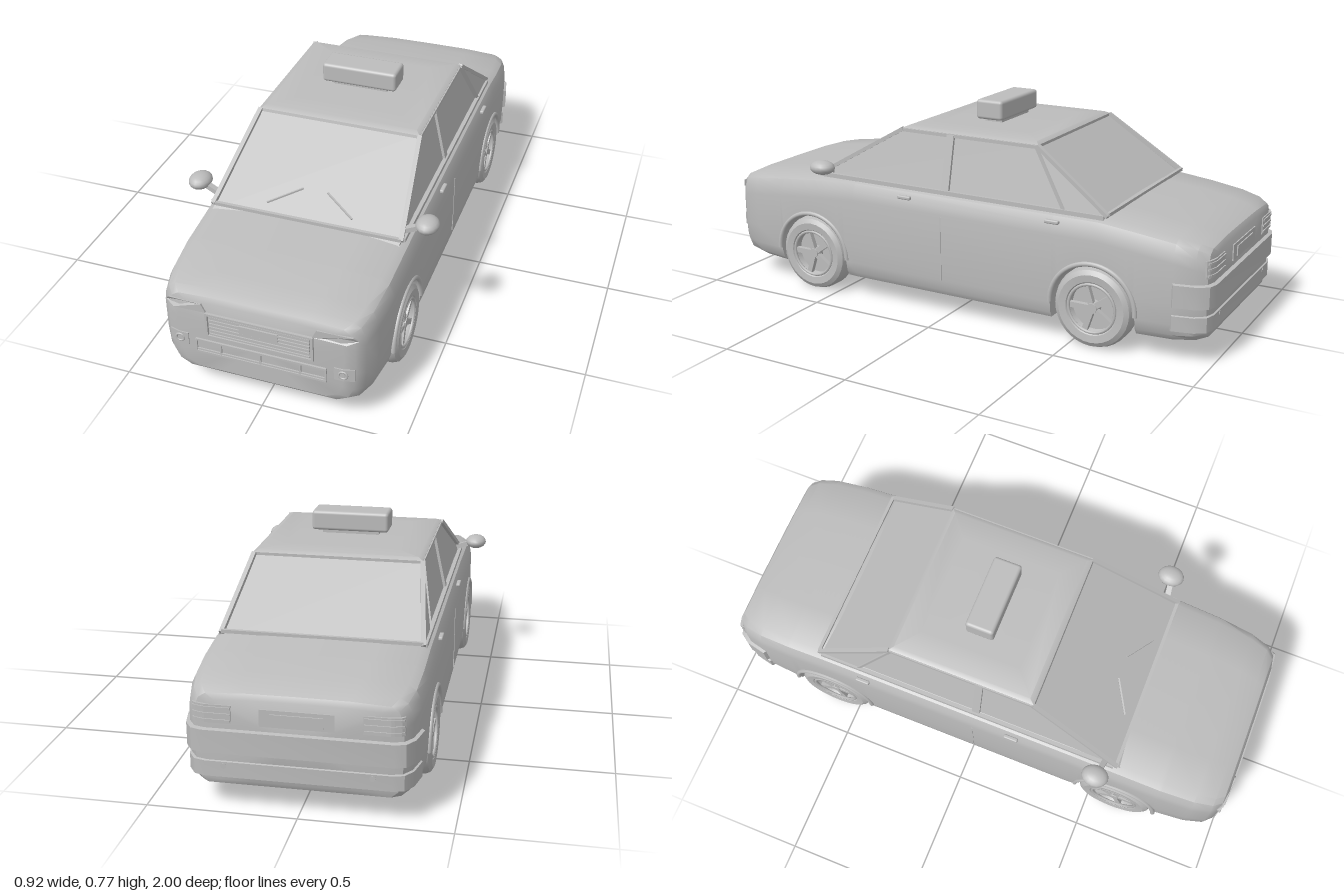
import * as THREE from 'three';
import { toCreasedNormals } from 'three/addons/utils/BufferGeometryUtils.js';
import { RoundedBoxGeometry } from 'three/addons/geometries/RoundedBoxGeometry.js';

const grey = new THREE.MeshStandardMaterial({ color: 0xbcbcbc });
grey.name = 'plain grey';

// Body stations: z, half width, bottom, top, bottom-corner factor
const STATIONS = [
  [-0.985, 0.3, 0.11, 0.39, 0.85], [-0.975, 0.335, 0.092, 0.408, 0.88], [-0.94, 0.36, 0.083, 0.423, 0.9],
  [-0.87, 0.376, 0.08, 0.438, 0.93], [-0.75, 0.384, 0.08, 0.455, 0.94], [-0.6, 0.386, 0.08, 0.472, 0.95],
  [0.4, 0.386, 0.08, 0.472, 0.95], [0.55, 0.385, 0.08, 0.462, 0.93], [0.75, 0.381, 0.08, 0.443, 0.9],
  [0.88, 0.37, 0.08, 0.427, 0.87], [0.95, 0.352, 0.084, 0.414, 0.83], [0.98, 0.325, 0.092, 0.402, 0.8],
  [0.99, 0.29, 0.105, 0.385, 0.78]];
const WHEEL_Z = [0.6, -0.585], WHEEL_R = 0.145, ARCH_R = 0.157;

function station(z) {
  let i = 0;
  while (i < STATIONS.length - 2 && STATIONS[i + 1][0] < z) i++;
  const a = STATIONS[i], b = STATIONS[i + 1];
  return a.map((v, k) => v + (b[k] - v) * (z - a[0]) / (b[0] - a[0]));
}

// Skin through closed rings of [x, y, z], capped at both ends
function loft(rings, crease = 0.6) {
  const n = rings[0].length, pos = rings.flat(2), idx = [];
  for (let i = 0; i < rings.length - 1; i++) {
    for (let j = 0; j < n; j++) {
      const a = i * n + j, b = i * n + (j + 1) % n;
      idx.push(a, b, b + n, a, b + n, a + n);
    }
  }
  for (const [start, flip] of [[0, true], [(rings.length - 1) * n, false]]) {
    const ring = rings[start / n], c = pos.length / 3;
    for (let k = 0; k < 3; k++) pos.push(ring.reduce((s, p) => s + p[k], 0) / n);
    for (let j = 0; j < n; j++) {
      const a = start + j, b = start + (j + 1) % n;
      idx.push(c, flip ? b : a, flip ? a : b);
    }
  }
  const g = new THREE.BufferGeometry();
  g.setAttribute('position', new THREE.Float32BufferAttribute(pos, 3));
  g.setIndex(idx);
  return toCreasedNormals(g, crease);
}

// Moves z of a thin part so that it hugs the nose (side 1) or tail (side -1)
function hug(g, side) {
  const table = STATIONS.filter(s => s[0] * side > 0.8).sort((a, b) => a[1] - b[1]);
  const p = g.attributes.position;
  for (let i = 0; i < p.count; i++) {
    const x = Math.abs(p.getX(i));
    let z = table[0][0];
    for (let k = 0; k < table.length - 1; k++) {
      const a = table[k], b = table[k + 1];
      if (x > a[1]) z = a[0] + (b[0] - a[0]) * Math.min(1, (x - a[1]) / (b[1] - a[1]));
    }
    p.setZ(i, p.getZ(i) + z);
  }
  g.computeVertexNormals();
  return g;
}

export function createModel() {
  const car = new THREE.Group();
  car.name = 'saloonCar';
  const add = (name, g, x = 0, y = 0, z = 0, parent = car) => {
    const m = new THREE.Mesh(g, grey);
    m.name = name;
    m.position.set(x, y, z);
    parent.add(m);
    return m;
  };
  const beam = (name, a, b, w, h) => {
    const p = new THREE.Vector3(...a), q = new THREE.Vector3(...b);
    const m = add(name, new THREE.BoxGeometry(w, h, p.distanceTo(q)));
    m.position.copy(p).lerp(q, 0.5);
    m.lookAt(q);
    return m;
  };
  // Thin box on the nose or tail
  const plate = (name, x, y, w, h, side, d = 0.012) =>
    add(name, hug(new THREE.BoxGeometry(w, h, d, 12, 1, 1).translate(x, y, 0).toNonIndexed(), side));

  // Lower body with wheel tunnels
  const cuts = STATIONS.map(s => [s[0], 0]).filter(([z]) => WHEEL_Z.every(c => Math.abs(z - c) > ARCH_R));
  for (const c of WHEEL_Z) {
    cuts.push([c - ARCH_R - 0.0005, 0], [c + ARCH_R + 0.0005, 0]);
    for (let i = 0; i <= 20; i++) {
      const t = Math.PI * i / 20;
      cuts.push([c - ARCH_R * Math.cos(t), WHEEL_R + ARCH_R * Math.sin(t)]);
    }
  }
  cuts.sort((a, b) => a[0] - b[0]);
  add('body', loft(cuts.map(([z, arch]) => {
    const [, w, b, T, k] = station(z), y = v => Math.max(arch, v);
    const half = [[0.5 * w, y(b)], [k * w, y(b)], [(1 - (1 - k) * 0.4) * w, y(b + 0.02)], [(1 - (1 - k) * 0.1) * w, y(b + 0.06)],
      [w, y(b + 0.13)], [w, T - 0.085], [0.985 * w, T - 0.05], [0.95 * w, T - 0.022], [0.88 * w, T - 0.007], [0.5 * w, T]];
    return [[0, y(b)], ...half, [0, T + 0.001], ...half.slice().reverse().map(([x, v]) => [-x, v])].map(([x, v]) => [x, v, z]);
  })));

  // Cabin glass and roof
  const ring = (y, x, f, r) => [[x, y, f], [x, y, r], [-x, y, r], [-x, y, f]];
  add('cabinGlass', loft([ring(0.45, 0.343, 0.585, -0.63), ring(0.668, 0.294, 0.215, -0.325)], 0.3));
  add('roof', loft([ring(0.66, 0.303, 0.228, -0.335), ring(0.671, 0.302, 0.225, -0.335),
    ring(0.68, 0.285, 0.205, -0.32), ring(0.685, 0.2, 0.13, -0.25)], 0.5));
  beam('windscreenSill', [-0.345, 0.467, 0.568], [0.345, 0.467, 0.568], 0.012, 0.012);
  beam('rearGlassSill', [-0.345, 0.474, -0.62], [0.345, 0.474, -0.62], 0.012, 0.012);

  for (const s of [1, -1]) {
    // Pillars, mouldings and rear quarter panel
    beam('frontPillar', [s * 0.345, 0.465, 0.572], [s * 0.302, 0.668, 0.222], 0.016, 0.014);
    beam('middlePillar', [s * 0.347, 0.46, 0.017], [s * 0.302, 0.668, 0.017], 0.03, 0.01);
    beam('rearPillar', [s * 0.345, 0.468, -0.622], [s * 0.302, 0.668, -0.333], 0.016, 0.014);
    beam('windowRearFrame', [s * 0.347, 0.465, -0.46], [s * 0.303, 0.665, -0.33], 0.012, 0.012);
    beam('windowTopFrame', [s * 0.301, 0.664, 0.222], [s * 0.301, 0.664, -0.333], 0.012, 0.012);
    beam('beltMoulding', [s * 0.35, 0.463, 0.56], [s * 0.35, 0.463, -0.61], 0.014, 0.016);
    const tri = [[0.343, 0.466, -0.46], [0.343, 0.466, -0.615], [0.299, 0.666, -0.333]];
    const rings = [0, 0.006].map(o => tri.map(([x, y, z]) => [s * (x + o), y, z]));
    add('rearQuarterPanel', loft(s > 0 ? rings : rings.map(r => r.reverse()), 0.3));

    // Door seams and handles
    add('doorSeam', new THREE.BoxGeometry(0.004, 0.24, 0.004), s * 0.386, 0.26, 0.015);
    for (const z of [0.17, -0.43])
      add('doorHandle', new RoundedBoxGeometry(0.016, 0.014, 0.055, 2, 0.005), s * 0.383, 0.432, z);

    // Mirrors
    beam('mirrorStalk', [s * 0.34, 0.48, 0.525], [s * 0.405, 0.505, 0.515], 0.02, 0.018);
    add('mirror', new THREE.SphereGeometry(1, 16, 10).scale(0.041, 0.027, 0.05), s * 0.419, 0.51, 0.51);

    // Wipers lie on the windscreen
    const glassZ = y => 0.585 - (y - 0.45) * 1.7 + 0.008;
    beam('wiper', [s * 0.157, 0.486, glassZ(0.486)], [s * 0.045, 0.526, glassZ(0.526)], 0.006, 0.006);

    // Headlight, fog light and tail lamps
    const lamp = new THREE.Shape([[0.185, 0.348], [0.3, 0.343], [0.335, 0.355], [0.32, 0.374], [0.2, 0.38]]
      .map(([x, y]) => new THREE.Vector2(s * x, y)));
    add('headlight', hug(new THREE.ExtrudeGeometry(lamp, { depth: 0.006, bevelEnabled: false }), 1));
    plate('fogLightFrame', s * 0.29, 0.216, 0.068, 0.048, 1, 0.008);
    add('fogLight', new THREE.TorusGeometry(0.014, 0.004, 8, 16), s * 0.287, 0.216, 0.993);
    plate('tailLamp', s * 0.275, 0.338, 0.13, 0.062, -1, 0.008);
    for (let i = 0; i < 3; i++) plate('tailLampRib', s * 0.275, 0.317 + i * 0.021, 0.125, 0.007, -1, 0.016);
    add('bumperSensor', new THREE.CylinderGeometry(0.01, 0.01, 0.012, 12).rotateX(Math.PI / 2), s * 0.24, 0.16, -0.986);

    // Wheels and arch lips
    const tyre = [[0, -0.04], [0.09, -0.045], [0.122, -0.05], [0.138, -0.04], [0.145, -0.022], [0.145, 0.022],
      [0.138, 0.04], [0.122, 0.05], [0.096, 0.047], [0.09, 0.04], [0.084, 0.012], [0, 0.012]].map(p => new THREE.Vector2(...p));
    for (const z of WHEEL_Z) {
      const wheel = new THREE.Group();
      wheel.name = z > 0 ? 'frontWheel' : 'rearWheel';
      wheel.position.set(s * 0.34, WHEEL_R, z);
      wheel.rotation.z = -s * Math.PI / 2;
      car.add(wheel);
      add('tyre', toCreasedNormals(new THREE.LatheGeometry(tyre, 32), 0.6), 0, 0, 0, wheel);
      add('hub', new THREE.CylinderGeometry(0.018, 0.024, 0.032, 16), 0, 0.026, 0, wheel);
      add('rimRing', new THREE.TorusGeometry(0.087, 0.006, 6, 32).rotateX(Math.PI / 2), 0, 0.042, 0, wheel);
      for (let i = 0; i < 5; i++)
        add('spoke', new THREE.BoxGeometry(0.02, 0.018, 0.07).translate(0, 0.03, 0.05).rotateY(i * Math.PI * 0.4), 0, 0, 0, wheel);
      const lip = new THREE.TorusGeometry(0.16, 0.009, 8, 28, Math.PI).rotateY(Math.PI / 2);
      add('archLip', lip, s * (station(z)[1] - 0.001), WHEEL_R, z);
    }
  }

  // Grille, front number plate and lower intake
  plate('grillePanel', 0, 0.297, 0.35, 0.085, 1, 0.006);
  for (let i = 0; i < 6; i++) plate('grilleSlat', 0, 0.262 + i * 0.014, 0.35, 0.006, 1, 0.014);
  for (const y of [0.252, 0.342]) plate('grilleFrame', 0, y, 0.376, 0.008, 1, 0.018);
  for (const x of [-0.184, 0.184]) plate('grilleFrame', x, 0.297, 0.008, 0.095, 1, 0.018);
  plate('frontNumberPlate', 0, 0.31, 0.135, 0.03, 1, 0.018);
  for (const y of [0.175, 0.224]) plate('intakeFrame', 0, y, 0.46, 0.008, 1, 0.014);
  for (const x of [-0.228, -0.14, 0, 0.14, 0.228]) plate('intakeDivider', x, 0.2, 0.006, 0.045, 1, 0.012);
  plate('intakeBar', 0, 0.184, 0.45, 0.006, 1, 0.01);

  // Rear bumper wraps round the tail
  const tail = STATIONS.filter(s => s[0] < -0.85).map(s => [s[1], s[0]]);
  const path = [...tail.slice().reverse(), ...tail.map(([x, z]) => [-x, z])];
  const band = (y0, y1, k) => loft(path.map(([x, z]) => {
    const X = x * (1 + k * 0.4), Z = -0.8 + (z + 0.8) * (1 + k);
    return [[x * 0.97, y0, z + 0.01], [x * 0.97, y1, z + 0.01], [X, y1 - 0.006, Z], [X, y0 + 0.006, Z]];
  }));
  add('rearBumper', band(0.2, 0.29, 0.07));
  add('rearSkirt', band(0.115, 0.18, 0.03));
  plate('rearPlateRecess', 0, 0.335, 0.24, 0.058, -1, 0.008);
  plate('rearNumberPlate', 0, 0.333, 0.17, 0.036, -1, 0.016);

  // Roof sign
  add('signBase', new THREE.BoxGeometry(0.21, 0.02, 0.07), 0, 0.69, -0.048);
  add('roofSign', new RoundedBoxGeometry(0.286, 0.073, 0.108, 3, 0.012), 0, 0.734, -0.048);
  return car;
}
